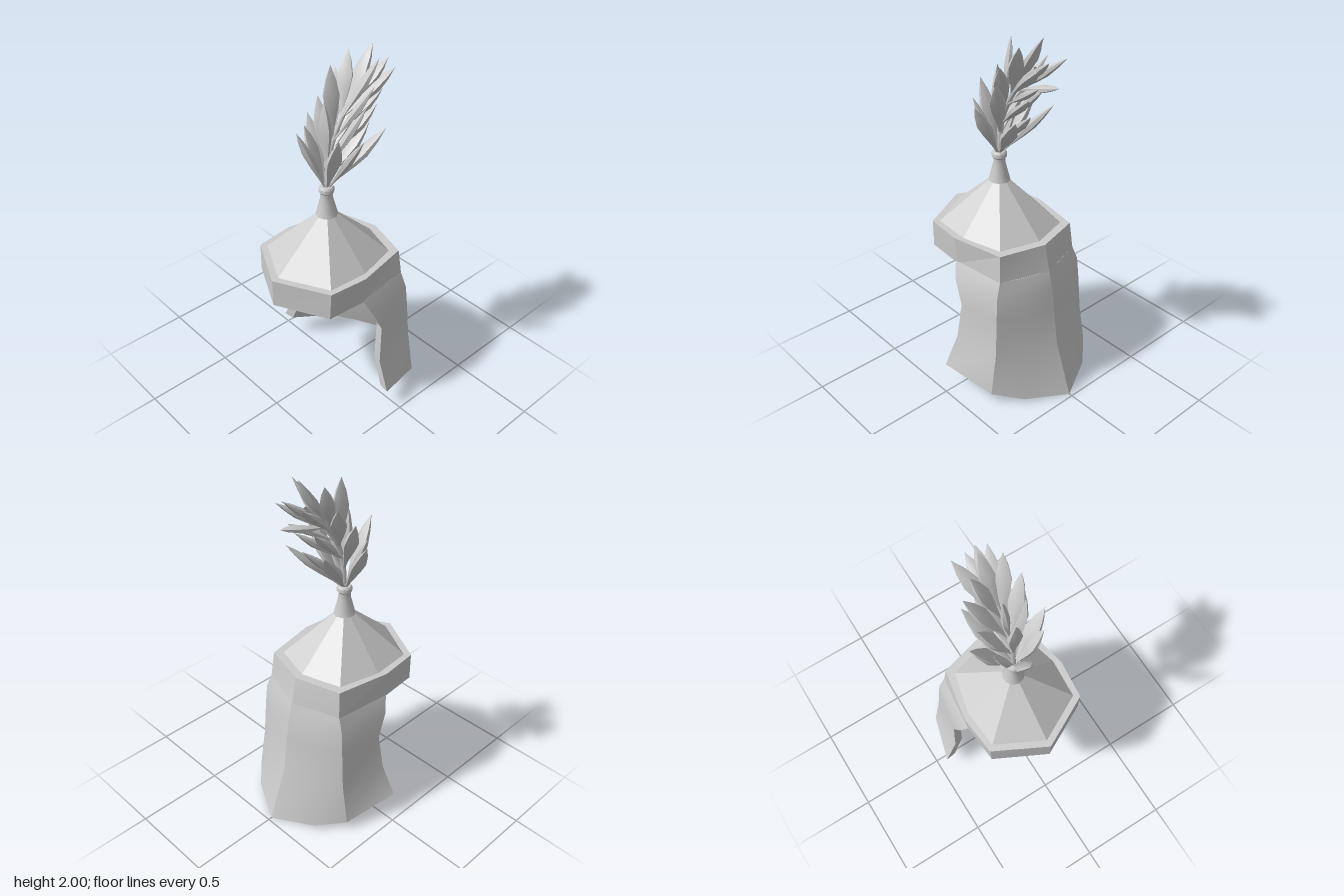
import * as THREE from 'three';
import { toCreasedNormals } from 'three/addons/utils/BufferGeometryUtils.js';

const V = (x, y, z) => new THREE.Vector3(x, y, z);

// Skin between closed loops listed from bottom to top, counter-clockwise from above
function loft(rows, crease) {
  const pos = [];
  const tri = (a, b, c) => {
    if (a.distanceTo(b) < 1e-5 || b.distanceTo(c) < 1e-5 || c.distanceTo(a) < 1e-5) return;
    for (const p of [a, b, c]) pos.push(p.x, p.y, p.z);
  };
  for (let r = 0; r < rows.length - 1; r++) {
    const n = rows[r].length;
    for (let i = 0; i < n; i++) {
      const j = (i + 1) % n;
      tri(rows[r][i], rows[r][j], rows[r + 1][j]);
      tri(rows[r][i], rows[r + 1][j], rows[r + 1][i]);
    }
  }
  const g = new THREE.BufferGeometry();
  g.setAttribute('position', new THREE.Float32BufferAttribute(pos, 3));
  g.computeVertexNormals();
  return toCreasedNormals(g, crease);
}

// Eight-sided ring mirrored from its front, left and back [x, z] points
function ring(y, half) {
  const left = half.map(([x, z]) => V(x, y, z));
  const right = half.slice(1, -1).reverse().map(([x, z]) => V(-x, y, z));
  return [...left, ...right];
}

export function createModel() {
  const group = new THREE.Group();
  const material = new THREE.MeshStandardMaterial({ color: 0xcccccc, side: THREE.DoubleSide });
  const add = (name, geometry, parent = group) => {
    const mesh = new THREE.Mesh(geometry, material);
    mesh.name = name;
    parent.add(mesh);
    return mesh;
  };

  // Hollow faceted crown with its vertical brow band
  const bandTop = [[0, 0.48], [0.29, 0.33], [0.313, 0.11], [0.255, -0.19], [0, -0.26]];
  const bandBottom = [[0, 0.48], [0.285, 0.335], [0.303, 0.11], [0.268, -0.205], [0, -0.298]];
  const inner = [[0, 0.44], [0.26, 0.305], [0.277, 0.08], [0.22, -0.15], [0, -0.215]];
  const point = (y) => ring(y, inner.map(() => [0, 0.1]));
  add('crown', loft([
    point(1.13), ring(0.87, inner), ring(0.73, inner),
    ring(0.73, bandBottom), ring(0.89, bandTop), ring(0.89, inner), point(1.19),
  ], 0.15));

  // Flared neck guard: each row runs front edge, corner, rear panel, rear ridge
  const guardRows = [
    [[0.45, 0.13, 0.06], [0.365, 0.055, -0.235], [0.23, 0.02, -0.36], [0, 0, -0.48]],
    [[0.37, 0.3, 0.045], [0.325, 0.3, -0.23], [0.19, 0.3, -0.31], [0, 0.3, -0.37]],
    [[0.352, 0.52, 0.02], [0.31, 0.52, -0.222], [0.17, 0.52, -0.288], [0, 0.52, -0.338]],
    [[0.34, 0.65, 0.08], [0.3, 0.65, -0.215], [0.16, 0.65, -0.275], [0, 0.65, -0.32]],
    [[0.303, 0.74, 0.12], [0.268, 0.74, -0.203], [0.14, 0.74, -0.25], [0, 0.74, -0.296]],
  ];
  const inset = [-0.01, 0.04, 0.05, 0.05];
  const mirrored = (half) => [...half, ...half.slice(0, -1).reverse().map((p) => V(-p.x, p.y, p.z))];
  const outerWall = guardRows.map((r) => mirrored(r.map((p) => V(...p))));
  const innerWall = guardRows.map((r) => mirrored(r.map(([x, y, z], i) => V(x * 0.86, y, z + inset[i]))));
  const loop = (a, b) => [...a, ...[...b].reverse()];
  const last = guardRows.length - 1;
  add('neckGuard', loft([
    loop(innerWall[0], innerWall[0]),
    ...outerWall.map((row, i) => loop(row, innerWall[i])),
    loop(innerWall[last], innerWall[last]),
  ], 0.5));

  // Plume holder
  const holder = [[0.06, 1.14], [0.052, 1.17], [0.034, 1.24], [0.033, 1.27], [0.042, 1.28], [0.042, 1.3], [0.034, 1.31], [0, 1.31]]
    .map(([r, y]) => new THREE.Vector2(r, y));
  add('plumeHolder', toCreasedNormals(new THREE.LatheGeometry(holder, 10), 0.7)).position.z = 0.1;

  // Plume of pointed leaves along a stem that arches backwards
  const plume = new THREE.Group();
  plume.name = 'plume';
  group.add(plume);
  const stem = new THREE.CatmullRomCurve3([V(0, 1.28, 0.1), V(0, 1.5, 0.075), V(0, 1.7, -0.03), V(0, 1.84, -0.17)]);
  add('plumeStem', new THREE.TubeGeometry(stem, 12, 0.014, 6), plume);

  // Each leaf: start along the stem, then its tip
  const leaves = [
    [0, -0.02, 1.67, 0.27], [0, 0.21, 1.63, 0.04], [0, -0.21, 1.63, 0.04], [0, -0.13, 1.62, 0.13],
    [0, 0.14, 1.64, 0.14], [0.02, 0.14, 1.6, -0.18], [0.02, -0.13, 1.62, -0.17], [0.1, 0.03, 1.6, -0.17],
    [0.2, 0, 1.79, 0.11], [0.2, -0.15, 1.74, 0.02], [0.2, 0.14, 1.76, -0.04], [0.3, 0.06, 1.7, -0.19],
    [0.3, -0.06, 1.72, -0.17], [0.42, -0.03, 1.95, 0.04], [0.42, 0.15, 1.86, -0.08], [0.42, -0.15, 1.86, -0.1],
    [0.5, 0.05, 1.77, -0.24], [0.6, -0.09, 1.97, -0.13], [0.6, 0.1, 1.97, -0.16], [0.62, 0.09, 1.88, -0.28],
    [0.62, -0.1, 1.9, -0.28], [0.65, 0, 2, -0.21], [0.68, 0, 1.79, -0.335], [0.7, 0.03, 1.91, -0.29],
  ];
  const blade = [[0.14, 0], [0.3, 0.2], [0.8, 0.45], [1, 0.62], [0.62, 0.82], [0, 1]]
    .map(([r, y]) => new THREE.Vector2(r, y));
  leaves.forEach(([t, x, y, z]) => {
    const base = stem.getPointAt(t);
    const along = V(x, y, z).sub(base);
    const length = along.length();
    along.normalize();
    // The broad face looks away from the stem
    const out = V(x, 0, z - base.z + 0.001);
    out.addScaledVector(along, -out.dot(along)).normalize();
    const across = V(0, 0, 0).crossVectors(along, out);
    const width = 0.03 + 0.05 * Math.max(0, length - 0.2);
    const geometry = new THREE.LatheGeometry(blade, 6);
    geometry.scale(width * 1.15, length, width * 0.55);
    geometry.applyMatrix4(new THREE.Matrix4().makeBasis(across, along, out).setPosition(base));
    add('leaf', toCreasedNormals(geometry, 0.8), plume);
  });

  return group;
}
